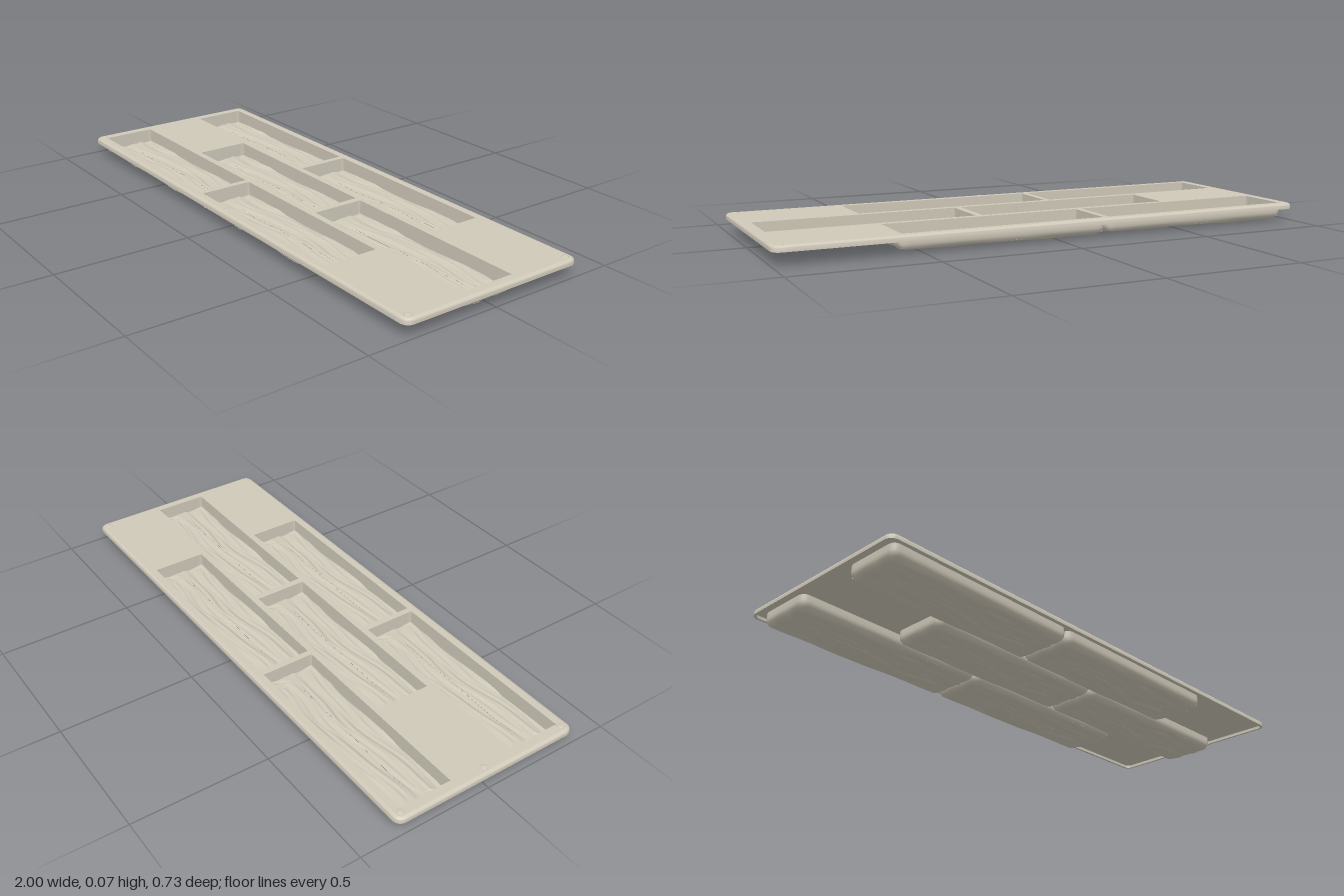
import * as THREE from 'three';
import { toCreasedNormals } from 'three/addons/utils/BufferGeometryUtils.js';

const TOP = 0.068, UNDER = 0.058, LIP = 0.047;
const HW = 1, HD = 0.363, CORNER = 0.03;
const CAV_W = 0.376, CAV_D = 0.1, WALL = 0.009;

// pocket centres: staggered brick layout
const pockets = [];
for (const [z, xs] of [[-0.225, [-0.58, 0.195]], [0, [-0.193, 0.585]], [0.225, [-0.58, 0.195]]]) {
  for (const x of xs) pockets.push([x, z]);
}

// long wavy grain along x, in pocket coordinates
function grain(x, z) {
  const w = z + 0.007 * Math.sin(x * 9 + 1) + 0.004 * Math.sin(x * 23 + z * 30);
  return 0.0026 * Math.sin(w * 75 + 2.2 * Math.sin(x * 5))
    + 0.0017 * Math.sin(w * 170 + 2 * Math.sin(x * 11 + 2))
    + 0.0012 * Math.sin(w * 310 + 3 * Math.sin(x * 8 + 0.5))
    - 0.012 * z;
}

// closed rounded rectangle, anticlockwise seen from above, inset by t
function loop(hw, hd, r, t) {
  const rr = Math.max(r - t, 0.0003);
  const cx = hw - t - rr, cz = hd - t - rr;
  const corners = [[1, -1], [-1, -1], [-1, 1], [1, 1]].map(([sx, sz], k) =>
    Array.from({ length: 6 }, (_, i) => {
      const a = (k + i / 5) * Math.PI / 2;
      return [sx * cx + rr * Math.cos(a), sz * cz - rr * Math.sin(a)];
    }));
  const pts = [];
  corners.forEach((arc, k) => {
    pts.push(...arc);
    const a = arc[5], b = corners[(k + 1) % 4][0], n = k % 2 ? 12 : 56;
    for (let i = 1; i < n; i++) {
      pts.push([a[0] + (b[0] - a[0]) * i / n, a[1] + (b[1] - a[1]) * i / n]);
    }
  });
  return pts;
}

// skin through sections [inset, height]; height may be a function of x, z
function loft(hw, hd, r, sections, inward = false) {
  const pos = [], idx = [];
  let n = 0;
  sections.forEach(([t, y], k) => {
    const pts = loop(hw, hd, r, t);
    n = pts.length;
    pts.forEach(([x, z], i) => {
      pos.push(x, typeof y === 'function' ? y(x, z) : y, z);
      if (k === 0) return;
      const j = (i + 1) % n, a = (k - 1) * n + i, b = (k - 1) * n + j, c = k * n + i, d = k * n + j;
      if (inward) idx.push(a, b, c, b, d, c);
      else idx.push(a, c, b, b, c, d);
    });
  });
  const g = new THREE.BufferGeometry();
  g.setAttribute('position', new THREE.Float32BufferAttribute(pos, 3));
  g.setIndex(idx);
  g.computeVertexNormals();
  return g;
}

// flat sheet pierced by the pockets
function sheet(inset, y, down) {
  const shape = new THREE.Shape(loop(HW, HD, CORNER, inset).map(([x, z]) => new THREE.Vector2(x, -z)));
  for (const [px, pz] of pockets) {
    shape.holes.push(new THREE.Path([[-1, -1], [-1, 1], [1, 1], [1, -1]].map(
      ([sx, sz]) => new THREE.Vector2(px + sx * CAV_W, -pz + sz * CAV_D))));
  }
  const g = new THREE.ShapeGeometry(shape);
  g.rotateX(down ? Math.PI / 2 : -Math.PI / 2);
  if (down) g.scale(1, 1, 1);
  return g.translate(0, y, 0);
}

export function createModel() {
  const model = new THREE.Group();
  const plastic = new THREE.MeshStandardMaterial({ color: 0xcfc9b9 });
  plastic.name = 'warm grey plastic';
  const add = (parent, name, geometry) => {
    const mesh = new THREE.Mesh(geometry, plastic);
    mesh.name = name;
    parent.add(mesh);
    return mesh;
  };

  // tray top, underside and rounded rim with its lip
  add(model, 'trayTop', sheet(0.012, TOP, false));
  add(model, 'trayUnderside', sheet(0.009, UNDER, true));
  const rim = [];
  for (let i = 0; i <= 5; i++) {
    const a = i / 5 * Math.PI / 2;
    rim.push([0.012 * (1 - Math.sin(a)), TOP - 0.012 * (1 - Math.cos(a))]);
  }
  rim.push([0, LIP], [0.009, LIP], [0.009, UNDER]);
  add(model, 'rim', toCreasedNormals(loft(HW, HD, CORNER, rim), 0.7));

  // cavity: straight walls down to a grained floor
  const floorY = (x, z) => 0.0165 + grain(x, z);
  const walls = toCreasedNormals(loft(CAV_W, CAV_D, 0.002, [[0, TOP], [0, floorY]], true), 0.7);
  const floorSections = [];
  for (let i = 0; i <= 26; i++) floorSections.push([CAV_D * 0.998 * i / 26, floorY]);
  const floor = loft(CAV_W, CAV_D, 0.002, floorSections, true);

  // outer shell: rounded lower edge that blends into the grain
  const R = 0.03, OW = CAV_W + WALL, OD = CAV_D + WALL;
  const shellSections = [[0, UNDER], [0, 0.047]];
  const shellY = t => (x, z) => {
    const s = Math.min(t / R, 1);
    const rise = R * (1 - Math.sqrt(1 - (1 - s) * (1 - s)));
    return 0.0068 + rise + grain(x, z) * s;
  };
  for (let i = 0; i <= 6; i++) {
    const t = R * (1 - Math.cos(i / 6 * Math.PI / 2));
    shellSections.push([t, shellY(t)]);
  }
  for (let i = 1; i <= 18; i++) {
    const t = R + (OD * 0.998 - R) * i / 18;
    shellSections.push([t, shellY(t)]);
  }
  const shell = loft(OW, OD, 0.025, shellSections);

  pockets.forEach(([x, z], i) => {
    const pocket = new THREE.Group();
    pocket.name = `pocket${i + 1}`;
    pocket.position.set(x, 0, z);
    add(pocket, 'cavityWalls', walls);
    add(pocket, 'cavityFloor', floor);
    add(pocket, 'outerShell', shell);
    model.add(pocket);
  });

  // small raised stacking bumps near the edge
  const dome = new THREE.SphereGeometry(0.013, 16, 5, 0, Math.PI * 2, 0, Math.PI / 2).scale(1, 0.2, 1);
  for (const [x, z] of [[-0.97, -0.333], [0.97, -0.333], [-0.97, 0], [-0.97, 0.333], [0.97, 0.333], [0, 0.338]]) {
    add(model, 'stackingBump', dome).position.set(x, TOP, z);
  }
  return model;
}
